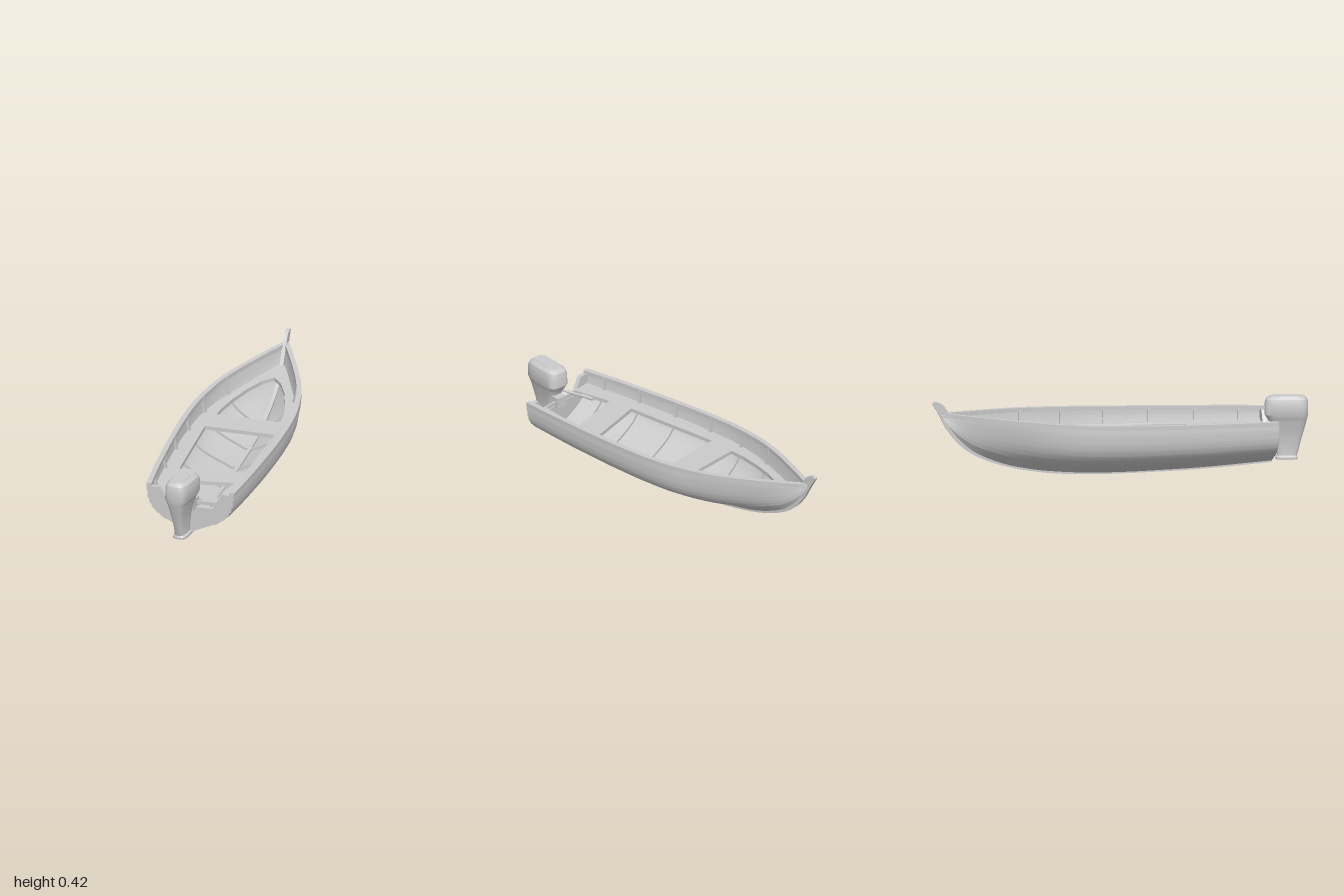
import * as THREE from 'three';
import { toCreasedNormals } from 'three/addons/utils/BufferGeometryUtils.js';

const grey = new THREE.MeshStandardMaterial({ color: 0xcccccc, side: THREE.DoubleSide });
const V = (x, y, z) => new THREE.Vector3(x, y, z);

// Hull stations: z, half width at the sheer, keel height, sheer height
const stations = [
  [0.8, 0.236, 0.040, 0.284], [0.6, 0.256, 0.027, 0.288], [0.4, 0.270, 0.016, 0.291], [0.2, 0.281, 0.010, 0.295],
  [0, 0.285, 0.007, 0.300], [-0.2, 0.277, 0.011, 0.307], [-0.4, 0.243, 0.028, 0.317], [-0.5, 0.214, 0.044, 0.323],
  [-0.6, 0.176, 0.066, 0.329], [-0.7, 0.132, 0.100, 0.335], [-0.8, 0.085, 0.150, 0.341], [-0.9, 0.036, 0.245, 0.347],
  [-0.95, 0.010, 0.330, 0.350],
];
// Unit half sections from keel to sheer, full amidships and narrower at the bow
const curve = (pts) => new THREE.CatmullRomCurve3(pts.map(([x, y]) => V(x, y, 0)));
const heights = [0, 0.09, 0.19, 0.32, 0.46, 0.62, 0.82, 1];
const section = (widths) => curve(heights.map((v, i) => [widths[i], v]));
const midSection = section([0.03, 0.23, 0.46, 0.7, 0.85, 0.94, 0.985, 1]);
const bowSection = section([0.06, 0.19, 0.33, 0.5, 0.66, 0.8, 0.92, 1]);

// Smooth interpolation of one station column
function at(z, c) {
  let i = 0;
  while (i < stations.length - 2 && z < stations[i + 1][0]) i++;
  const slope = (j) => {
    const a = stations[Math.max(j - 1, 0)], b = stations[Math.min(j + 1, stations.length - 1)];
    return (b[c] - a[c]) / (b[0] - a[0]);
  };
  const p = stations[i], q = stations[i + 1], h = q[0] - p[0], t = (z - p[0]) / h;
  const t2 = t * t, t3 = t2 * t;
  return (2 * t3 - 3 * t2 + 1) * p[c] + (t3 - 2 * t2 + t) * h * slope(i)
    + (3 * t2 - 2 * t3) * q[c] + (t3 - t2) * h * slope(i + 1);
}

// Point on the hull skin, pushed outward by off
function hullPoint(z, t, off = 0, side = 1) {
  const bow = THREE.MathUtils.smoothstep(-z, 0.2, 0.9);
  const raw = (s) => {
    const p = midSection.getPoint(s).lerp(bowSection.getPoint(s), bow);
    return [p.x * at(z, 1), THREE.MathUtils.lerp(at(z, 2), at(z, 3), p.y)];
  };
  const p = raw(t), a = raw(Math.max(t - 0.01, 0)), b = raw(Math.min(t + 0.01, 1));
  const dx = b[0] - a[0], dy = b[1] - a[1], l = Math.hypot(dx, dy) || 1;
  return V(side * Math.max(p[0] + off * dy / l, 0), p[1] - off * dx / l, z);
}

// Half width of the hull at a given height
function widthAt(z, y) {
  let lo = 0, hi = 1;
  for (let i = 0; i < 16; i++) {
    const m = (lo + hi) / 2;
    if (hullPoint(z, m).y < y) lo = m; else hi = m;
  }
  return hullPoint(z, lo).x;
}

// Closed solid through equal-sized loops of points, wound outward
function loft(loops, crease = 0.6) {
  const n = loops[0].length, pts = loops.flat(), tris = [];
  for (let i = 0; i < loops.length - 1; i++) {
    for (let j = 0; j < n; j++) {
      const a = i * n + j, b = i * n + (j + 1) % n;
      tris.push([a, b, b + n], [a, b + n, a + n]);
    }
  }
  const end = (loops.length - 1) * n;
  THREE.ShapeUtils.triangulateShape(flat(loops[0]), []).forEach(([a, b, c]) => tris.push([a, c, b]));
  THREE.ShapeUtils.triangulateShape(flat(loops[loops.length - 1]), []).forEach(([a, b, c]) => tris.push([end + a, end + b, end + c]));
  const volume = tris.reduce((s, [a, b, c]) => s + pts[a].dot(V(0, 0, 0).crossVectors(pts[b], pts[c])), 0);
  if (volume < 0) tris.forEach((t) => t.reverse());
  const g = new THREE.BufferGeometry().setFromPoints(pts);
  g.setIndex(tris.flat());
  return toCreasedNormals(g, crease);
}

// Project an end loop to its plane, counter-clockwise as the loop runs
function flat(loop) {
  const nrm = V(0, 0, 0);
  loop.forEach((p, i) => nrm.add(V(0, 0, 0).crossVectors(p, loop[(i + 1) % loop.length])));
  nrm.normalize();
  const u = Math.abs(nrm.y) > 0.7 ? V(1, 0, 0) : V(0, 1, 0);
  u.addScaledVector(nrm, -u.dot(nrm)).normalize();
  const w = V(0, 0, 0).crossVectors(nrm, u);
  return loop.map((p) => new THREE.Vector2(p.dot(u), p.dot(w)));
}

export function createModel() {
  const boat = new THREE.Group();
  boat.name = 'motorBoat';
  const add = (name, geometry, parent = boat) => {
    const m = new THREE.Mesh(geometry, grey);
    m.name = name;
    parent.add(m);
    return m;
  };
  const range = (n, a, b) => Array.from({ length: n + 1 }, (_, i) => a + (b - a) * i / n);
  const along = range(44, 0.8, -0.95);

  // Lapped planks, rails and ribs on both sides
  const edges = [0, 0.34, 0.46, 0.56, 0.66, 0.76, 0.88, 1];
  const ribs = [0.67, 0.44, 0.2, -0.04, -0.27, -0.5];
  for (const side of [1, -1]) {
    const tag = side > 0 ? 'left' : 'right';
    for (let j = 0; j < edges.length - 1; j++) {
      const steps = range(j ? 3 : 8, 0, 1);
      const t = (a) => THREE.MathUtils.lerp(edges[j], edges[j + 1], a);
      add(tag + 'Plank' + (j + 1), loft(along.map((z) => [
        ...steps.map((a) => hullPoint(z, t(a), j ? 0.006 * (1 - a) : 0, side)),
        ...steps.slice().reverse().map((a) => hullPoint(z, t(a), -0.01, side)),
      ])));
    }
    add(tag + 'Gunwale', loft(along.map((z) => {
      const w = at(z, 1), s = at(z, 3), inner = side * Math.max(w - 0.024, 0), outer = side * (w + 0.003);
      return [V(inner, s - 0.018, z), V(outer, s - 0.018, z), V(outer, s + 0.004, z), V(inner, s + 0.004, z)];
    })));
    ribs.forEach((z) => add(tag + 'Rib', loft(range(20, 0.03, 0.98).map((t) => [
      hullPoint(z - 0.008, t, -0.008, side), hullPoint(z + 0.008, t, -0.008, side),
      hullPoint(z + 0.008, t, -0.024, side), hullPoint(z - 0.008, t, -0.024, side),
    ]))));
  }

  // Keel and raked stem in one curved bar
  const bar = new THREE.Shape();
  bar.moveTo(-0.8, 0.032);
  bar.splineThru([[-0.4, 0.008], [0, 0], [0.2, 0.003], [0.4, 0.018], [0.6, 0.056], [0.75, 0.11], [0.85, 0.175],
    [0.92, 0.26], [0.96, 0.335], [1, 0.405]].map(([x, y]) => new THREE.Vector2(x, y)));
  bar.lineTo(0.985, 0.415);
  bar.splineThru([[0.945, 0.398], [0.918, 0.36], [0.885, 0.3], [0.83, 0.215], [0.74, 0.15], [0.6, 0.095], [0.4, 0.05],
    [0, 0.027], [-0.4, 0.036], [-0.8, 0.058]].map(([x, y]) => new THREE.Vector2(x, y)));
  const keel = new THREE.ExtrudeGeometry(bar, { depth: 0.02, bevelEnabled: false, curveSegments: 40 });
  add('keelAndStem', toCreasedNormals(keel.translate(0, 0, -0.01).rotateY(Math.PI / 2), 0.5));

  // Transom with a notch for the motor
  const rim = range(20, 0, 0.96).map((t) => hullPoint(0.8, t));
  const outline = [...rim.map((p) => [p.x, p.y]), [0.17, 0.274], [0.12, 0.186],
    [-0.12, 0.186], [-0.17, 0.274], ...rim.slice().reverse().map((p) => [-p.x, p.y])];
  const shapeOf = (pts) => new THREE.Shape(pts.map(([x, y]) => new THREE.Vector2(x, y)));
  add('transom', new THREE.ExtrudeGeometry(shapeOf(outline), { depth: 0.022, bevelEnabled: false }).translate(0, 0, 0.78));

  // Seat deck with three openings, rising gently to the bow
  const rise = (z) => 0.195 + 0.045 * Math.max(0, -z / 0.9) ** 2;
  const rimZ = range(32, 0.785, -0.86);
  const half = rimZ.map((z) => [Math.max(widthAt(z, rise(z)) - 0.004, 0.002), -z]);
  const deck = shapeOf([...half, ...half.slice().reverse().map(([x, y]) => [-x, y])]);
  const bowEdge = [[0.175, 0.26], [0.165, 0.35], [0.14, 0.46], [0.1, 0.58], [0.05, 0.68]];
  deck.holes.push(
    shapeOf([...bowEdge, [0, 0.73], ...bowEdge.slice().reverse().map(([x, y]) => [-x, y])]),
    shapeOf([[-0.192, 0.11], [0.187, 0.11], [0.175, -0.37], [-0.17, -0.43]]),
    shapeOf([[-0.155, -0.57], [0.155, -0.52], [0.115, -0.775], [-0.12, -0.775]]),
  );
  const deckGeo = new THREE.ExtrudeGeometry(deck, { depth: 0.02, bevelEnabled: false }).rotateX(-Math.PI / 2);
  const pos = deckGeo.attributes.position;
  for (let i = 0; i < pos.count; i++) pos.setY(i, pos.getY(i) + rise(pos.getZ(i)));
  deckGeo.computeVertexNormals();
  add('seatDeck', deckGeo);

  // Outboard motor, turned slightly to one side
  const motor = new THREE.Group();
  motor.name = 'outboardMotor';
  motor.position.set(-0.019, 0, 0.88);
  motor.rotation.y = -0.17;
  boat.add(motor);
  // Rounded rectangle loop: height, half width, back and front ends
  const ring = ([y, w, z0, z1]) => range(31, 0, Math.PI * 2 * 31 / 32).map((a) => {
    const r = (v) => Math.sign(v) * Math.abs(v) ** 0.5;
    return V(w * r(Math.cos(a)), y, (z0 + z1) / 2 + (z1 - z0) / 2 * r(Math.sin(a)));
  });
  const tower = (name, rows, crease) => add(name, loft(rows.map(ring), crease), motor);
  tower('motorCowl', [[0.262, 0.052, -0.1, 0.106], [0.29, 0.064, -0.116, 0.112], [0.35, 0.063, -0.115, 0.112],
    [0.372, 0.057, -0.108, 0.105], [0.386, 0.042, -0.085, 0.09]], 0.5);
  tower('cowlPanel', [[0.38, 0.034, -0.05, 0.08], [0.389, 0.03, -0.045, 0.075]], 0.5);
  tower('motorLeg', [[0.062, 0.027, -0.05, 0.05], [0.1, 0.025, -0.055, 0.062], [0.16, 0.03, -0.063, 0.077],
    [0.21, 0.038, -0.075, 0.092], [0.264, 0.052, -0.1, 0.106]], 0.5);
  tower('footPlate', [[0.05, 0.036, -0.058, 0.056], [0.062, 0.036, -0.058, 0.056], [0.072, 0.025, -0.05, 0.05]], 0.4);
  add('clampBracket', new THREE.BoxGeometry(0.06, 0.06, 0.07).translate(0.005, 0.205, -0.09), motor);
  const tiller = new THREE.CatmullRomCurve3([V(-0.03, 0.25, -0.08), V(-0.06, 0.245, -0.15), V(-0.092, 0.25, -0.25)]);
  add('tiller', new THREE.TubeGeometry(tiller, 12, 0.007, 8), motor);
  const grip = new THREE.CylinderGeometry(0.01, 0.009, 0.07, 10).rotateX(Math.PI / 2).rotateY(0.3);
  add('tillerGrip', grip.translate(-0.085, 0.249, -0.228), motor);
  return boat;
}
